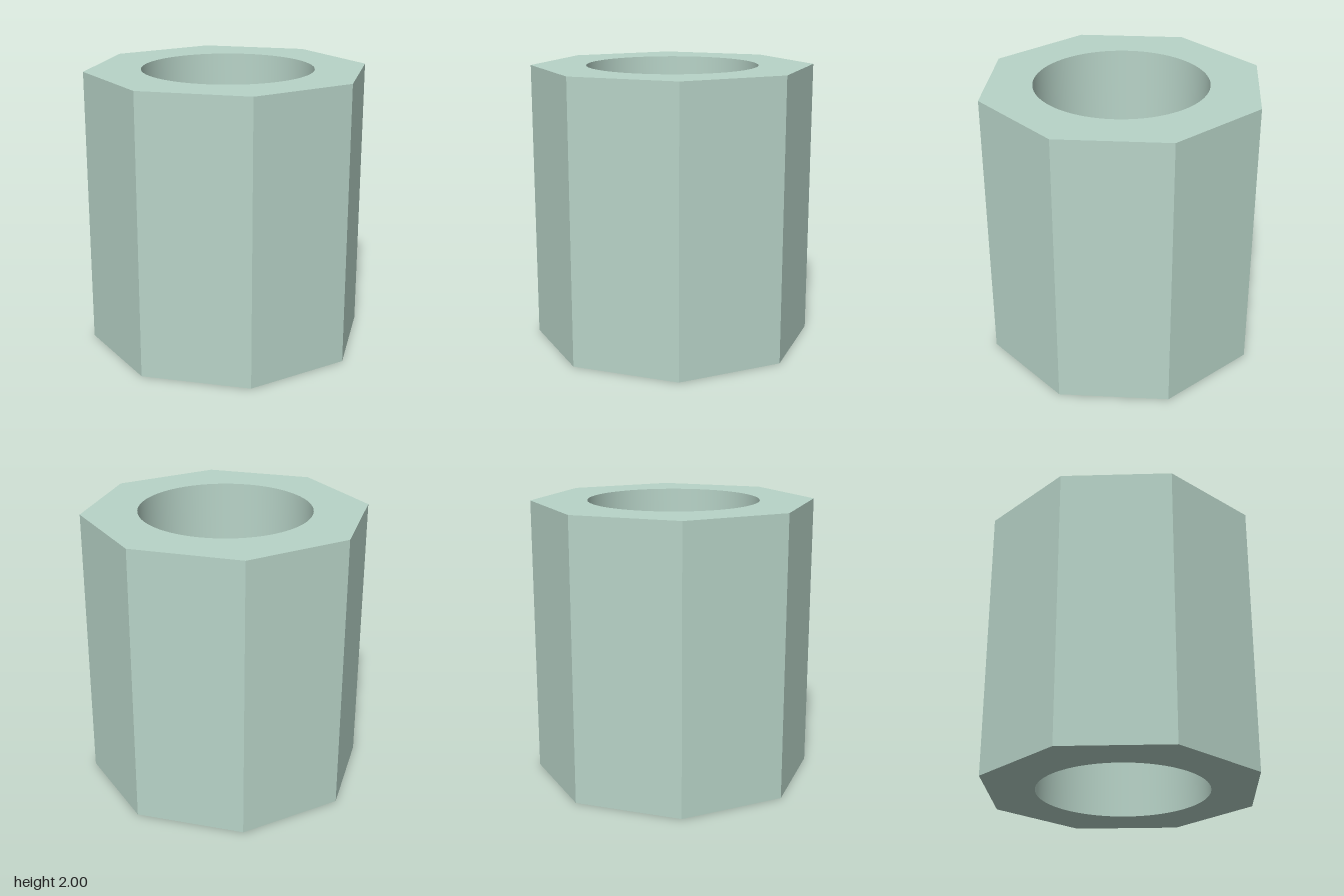
import * as THREE from 'three';
import { toCreasedNormals } from 'three/addons/utils/BufferGeometryUtils.js';

export function createModel() {
  const group = new THREE.Group();
  group.name = 'octagonalSleeve';

  const apothem = 0.934;
  const corner = apothem / Math.cos(Math.PI / 8);
  const height = 2;

  // Octagonal outline with flats facing the axes
  const outline = new THREE.Shape(
    Array.from({ length: 8 }, (_, i) => {
      const a = ((i + 0.5) * Math.PI) / 4;
      return new THREE.Vector2(corner * Math.cos(a), corner * Math.sin(a));
    })
  );

  // Round through bore, very slightly off centre
  const bore = new THREE.Path();
  bore.absarc(0.007, -0.007, 0.613, 0, Math.PI * 2, true);
  outline.holes.push(bore);

  // Extrude upward; smooth bore, sharp outer edges
  const extruded = new THREE.ExtrudeGeometry(outline, {
    depth: height,
    bevelEnabled: false,
    curveSegments: 48,
  });
  extruded.rotateX(-Math.PI / 2);

  const sleeve = new THREE.Mesh(
    toCreasedNormals(extruded, Math.PI / 6),
    new THREE.MeshStandardMaterial({ color: 0xb8d4c8 })
  );
  sleeve.name = 'sleeveBody';
  group.add(sleeve);
  return group;
}
